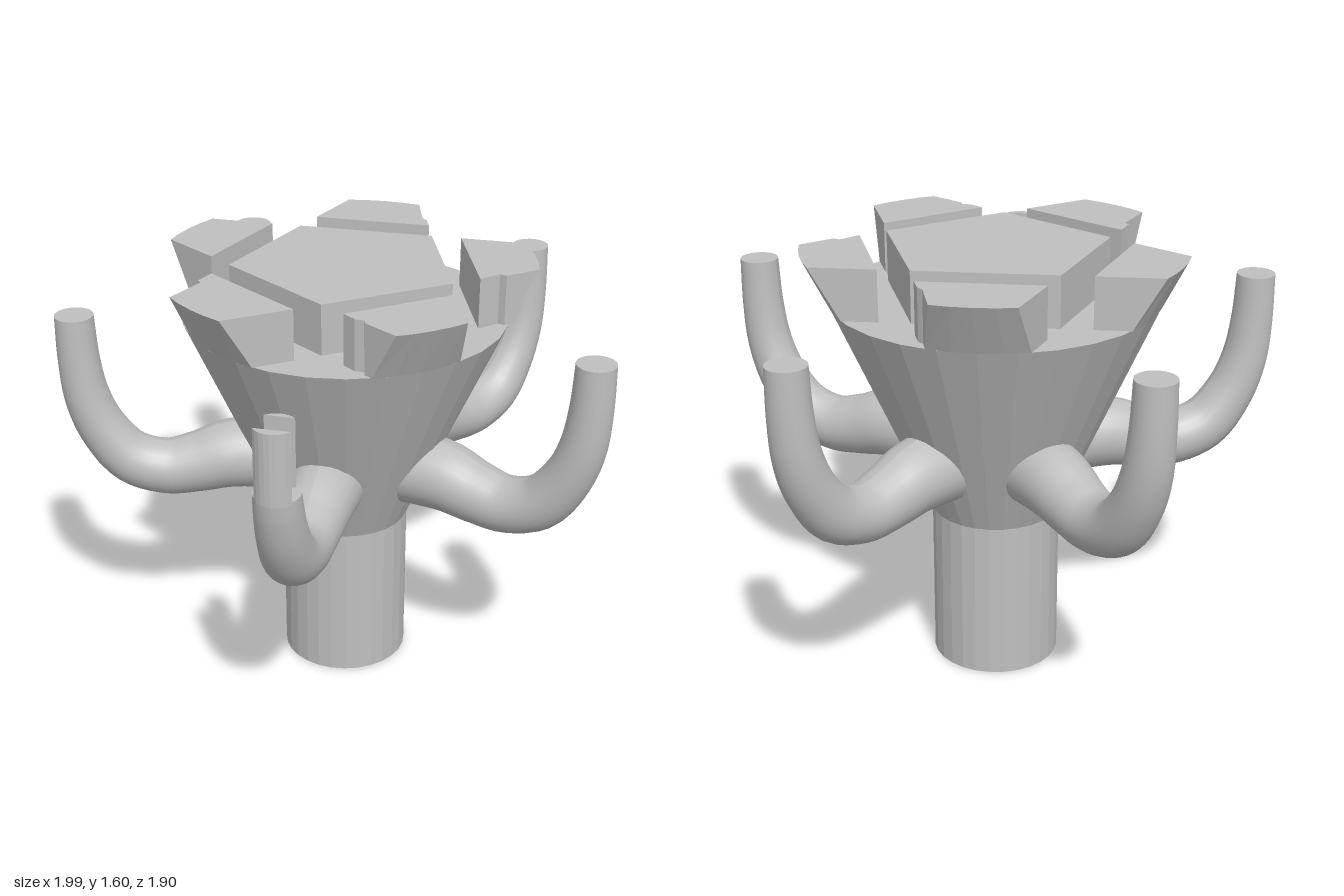
import * as THREE from 'three';

const AXIS_Z = -0.09; // the body axis sits slightly behind the origin
const FLOOR_Y = 1.41, TOP_Y = 1.595, FLOOR_R = 0.59, TOP_R = 0.682;

const grey = new THREE.MeshStandardMaterial({ color: 0xbfbfbf });
grey.name = 'plain grey';

function part(name, geometry, parent) {
  const mesh = new THREE.Mesh(geometry, grey);
  mesh.name = name;
  parent.add(mesh);
  return mesh;
}

function faceted(geometry) {
  const g = geometry.index ? geometry.toNonIndexed() : geometry;
  g.computeVertexNormals();
  return g;
}

// Plan points are given as [x, z] and become (x, -z) measured from the body axis
const plan = ([x, z]) => new THREE.Vector2(x, AXIS_Z - z);

// Point where the line from a through b meets a circle of radius r
function hitCircle(a, b, r) {
  const d = b.clone().sub(a).normalize();
  const m = a.dot(d);
  return a.clone().addScaledVector(d, -m + Math.sqrt(m * m - a.lengthSq() + r * r));
}

// Block outline: two side walls running out to the cone, joined by an arc
function outline(wallA, wallB, r) {
  const end = (w) => hitCircle(w[w.length - 2], w[w.length - 1], r);
  const a = end(wallA).angle();
  let sweep = end(wallB).angle() - a;
  sweep = Math.atan2(Math.sin(sweep), Math.cos(sweep));
  const pts = wallA.slice(0, -1);
  for (let i = 0; i <= 4; i++) {
    const t = a + (sweep * i) / 4;
    pts.push(new THREE.Vector2(r * Math.cos(t), r * Math.sin(t)));
  }
  return pts.concat(wallB.slice(0, -1).reverse());
}

// Prism between two outlines with matching points
function loft(low, high, y0, y1) {
  if (THREE.ShapeUtils.isClockWise(high)) { low.reverse(); high.reverse(); }
  const pos = [];
  const put = (p, y) => pos.push(p.x, y, -p.y);
  high.forEach((p, i) => {
    const j = (i + 1) % high.length;
    put(low[i], y0); put(low[j], y0); put(high[j], y1);
    put(low[i], y0); put(high[j], y1); put(p, y1);
  });
  for (const tri of THREE.ShapeUtils.triangulateShape(high, [])) tri.forEach((i) => put(high[i], y1));
  const g = new THREE.BufferGeometry();
  g.setAttribute('position', new THREE.Float32BufferAttribute(pos, 3));
  return faceted(g);
}

// Tapered bent tube; each knot is (reach, height, radius)
function armGeometry(knots) {
  const curve = new THREE.CatmullRomCurve3(knots.map((k) => new THREE.Vector3(...k)));
  const steps = 36, sides = 24, pos = [], index = [];
  const ring = (c, tx, ty) => {
    for (let j = 0; j <= sides; j++) {
      const a = (j / sides) * Math.PI * 2;
      const n = c.z * Math.cos(a);
      pos.push(c.x - ty * n, c.y + tx * n, c.z * Math.sin(a));
    }
  };
  for (let i = 0; i <= steps; i++) {
    const t = curve.getTangent(i / steps);
    const len = Math.hypot(t.x, t.y);
    const last = i === steps;
    ring(curve.getPoint(i / steps), last ? 0 : t.x / len, last ? 1 : t.y / len);
  }
  const w = sides + 1;
  for (let i = 0; i < steps; i++) {
    for (let j = 0; j < sides; j++) {
      const a = i * w + j;
      index.push(a, a + 1, a + w, a + 1, a + w + 1, a + w);
    }
  }
  // flat tip
  const tip = curve.getPoint(1), start = pos.length / 3;
  ring(tip, 0, 1);
  pos.push(tip.x, tip.y, 0);
  for (let j = 0; j < sides; j++) index.push(start + w, start + j, start + j + 1);
  const g = new THREE.BufferGeometry();
  g.setAttribute('position', new THREE.Float32BufferAttribute(pos, 3));
  g.setIndex(index);
  g.computeVertexNormals();
  return g;
}

// Upright slice of the arm tip beyond a chord; side is +1 outer, -1 inner
function sliver(chord, side, y0, y1) {
  const r = 0.074, half = Math.acos(chord / r), pts = [];
  for (let i = 0; i <= 8; i++) {
    const a = -half + (2 * half * i) / 8;
    pts.push(new THREE.Vector2(0.97 + side * r * Math.cos(a), side * r * Math.sin(a)));
  }
  return loft(pts, pts.map((p) => p.clone()), y0, y1);
}

export function createModel() {
  const model = new THREE.Group();
  model.name = 'cupWithArms';
  const body = new THREE.Group();
  body.name = 'body';
  body.position.z = AXIS_Z;
  model.add(body);

  // Stem and flared cup
  const stem = new THREE.CylinderGeometry(0.235, 0.235, 0.6, 28).translate(0, 0.3, 0);
  part('stem', faceted(stem), body);
  const cup = new THREE.CylinderGeometry(FLOOR_R, 0.235, FLOOR_Y - 0.6, 28).translate(0, (FLOOR_Y + 0.6) / 2, 0);
  part('cup', faceted(cup), body);

  // Raised pentagon in the middle of the top
  const penta = [[-0.25, -0.42], [0.25, -0.42], [0.405, 0.035], [0.01, 0.32], [-0.395, 0.035]].map(plan);
  part('centrePentagon', loft(penta, penta.map((p) => p.clone()), FLOOR_Y, TOP_Y), body);

  // Rim blocks: each has two walls, from the inner corner out to the rim
  const blocks = {
    backBlock: [[[-0.215, -0.53], [-0.14, -0.76]], [[0.22, -0.53], [0.20, -0.59], [0.18, -0.61], [0.14, -0.76]]],
    leftBlock: [[[0.36, -0.42], [0.595, -0.42]], [[0.49, -0.03], [0.55, -0.09], [0.575, -0.08], [0.67, -0.16]]],
    rightBlock: [[[-0.36, -0.42], [-0.595, -0.42]], [[-0.48, -0.03], [-0.67, -0.16]]],
    frontRightBlock: [[[-0.43, 0.13], [-0.455, 0.205], [-0.44, 0.22], [-0.5, 0.37]], [[-0.07, 0.38], [-0.27, 0.525]]],
    frontLeftBlock: [[[0.43, 0.13], [0.505, 0.35]], [[0.10, 0.38], [0.145, 0.415], [0.18, 0.42], [0.185, 0.44], [0.29, 0.512]]],
  };
  for (const [name, walls] of Object.entries(blocks)) {
    const [a, b] = walls.map((w) => w.map(plan));
    part(name, loft(outline(a, b, FLOOR_R), outline(a, b, TOP_R), FLOOR_Y, TOP_Y), body);
  }

  // Five upturned arms; the front one has a notched tip
  const bend = [
    [0.15, 0.85, 0.145], [0.42, 0.85, 0.13], [0.55, 0.82, 0.115], [0.67, 0.805, 0.105],
    [0.8, 0.85, 0.1], [0.895, 0.97, 0.09], [0.945, 1.1, 0.083],
  ];
  const whole = armGeometry([...bend, [0.965, 1.25, 0.076], [0.97, 1.425, 0.07]]);
  const cut = armGeometry([...bend, [0.962, 1.18, 0.079]]);
  const names = ['frontArm', 'leftArm', 'backLeftArm', 'backRightArm', 'rightArm'];
  names.forEach((name, i) => {
    const arm = new THREE.Group();
    arm.name = name;
    arm.rotation.y = -Math.PI / 2 + (i * Math.PI * 2) / 5;
    body.add(arm);
    part(name + 'Tube', i === 0 ? cut : whole, arm);
    if (i === 0) {
      part('outerTipSliver', sliver(0.04, 1, 1.17, 1.425), arm);
      part('innerTipSliver', sliver(0.054, -1, 1.17, 1.425), arm);
    }
  });
  return model;
}
